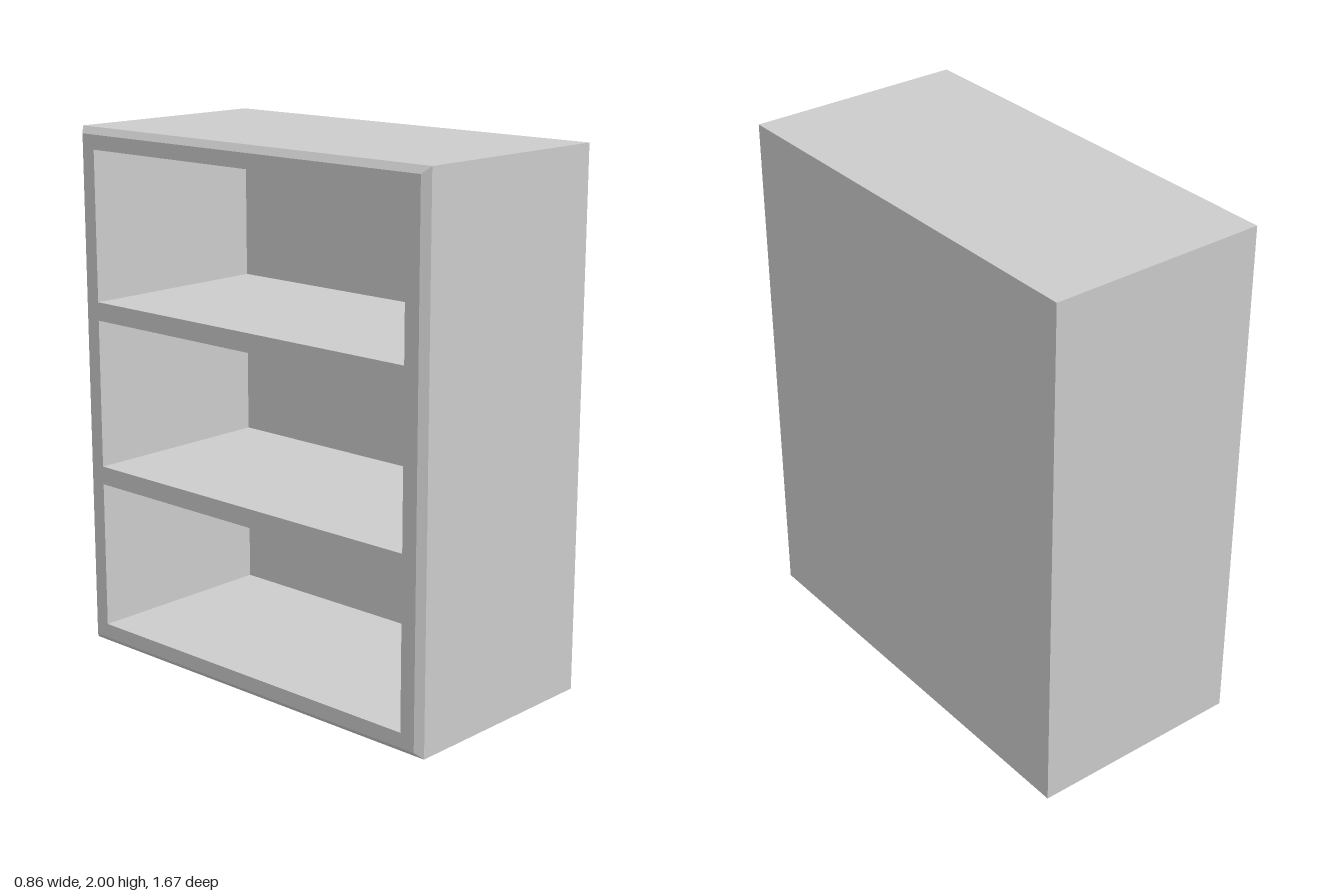
import * as THREE from 'three';

const HEIGHT = 2, HALF_W = 0.835, HALF_D = 0.43;
const BACK = 0.08;      // back panel thickness
const WALL = 0.08;      // rim around the compartments
const SHELF = 0.07;     // shelf thickness
const CHAMFER = 0.025;  // bevel around the open side
const COMPARTMENTS = 3;

function rectangle(target, x0, y0, x1, y1) {
  target.moveTo(x0, y0);
  target.lineTo(x1, y0);
  target.lineTo(x1, y1);
  target.lineTo(x0, y1);
  target.closePath();
  return target;
}

export function createModel() {
  const group = new THREE.Group();
  group.name = 'bookcase';
  const material = new THREE.MeshStandardMaterial({ color: 0xcccccc, flatShading: true });

  // Carcass: outer walls and shelves as one frame with a hole per compartment
  const shape = rectangle(new THREE.Shape(), -HALF_W, 0, HALF_W, HEIGHT);
  const inner = HALF_W - WALL - 0.005;
  const h = (HEIGHT - 2 * WALL - (COMPARTMENTS - 1) * SHELF) / COMPARTMENTS;
  for (let i = 0; i < COMPARTMENTS; i++) {
    const y = WALL + i * (h + SHELF);
    shape.holes.push(rectangle(new THREE.Path(), -inner, y, inner, y + h));
  }
  const depth = 2 * HALF_D - BACK;
  const frame = new THREE.ExtrudeGeometry(shape, { depth, steps: 2, bevelEnabled: false });

  // Chamfer: slide the middle ring towards the opening, pull the outer rim inwards
  const p = frame.attributes.position;
  for (let i = 0; i < p.count; i++) {
    const z = p.getZ(i);
    if (Math.abs(z - depth / 2) < 1e-4) p.setZ(i, depth - CHAMFER);
    if (z > depth - 1e-4) {
      const x = p.getX(i), y = p.getY(i);
      if (Math.abs(x) > HALF_W - 1e-4) p.setX(i, Math.sign(x) * (HALF_W - CHAMFER));
      if (y < 1e-4) p.setY(i, CHAMFER);
      if (y > HEIGHT - 1e-4) p.setY(i, HEIGHT - CHAMFER);
    }
  }
  frame.computeVertexNormals();
  frame.rotateY(-Math.PI / 2); // open side faces -x
  frame.translate(HALF_D - BACK, 0, 0);
  const carcass = new THREE.Mesh(frame, material);
  carcass.name = 'carcassWithShelves';
  group.add(carcass);

  // Closed panel behind the compartments
  const panel = new THREE.Mesh(new THREE.BoxGeometry(BACK, HEIGHT, 2 * HALF_W), material);
  panel.name = 'backPanel';
  panel.position.set(HALF_D - BACK / 2, HEIGHT / 2, 0);
  group.add(panel);

  return group;
}
